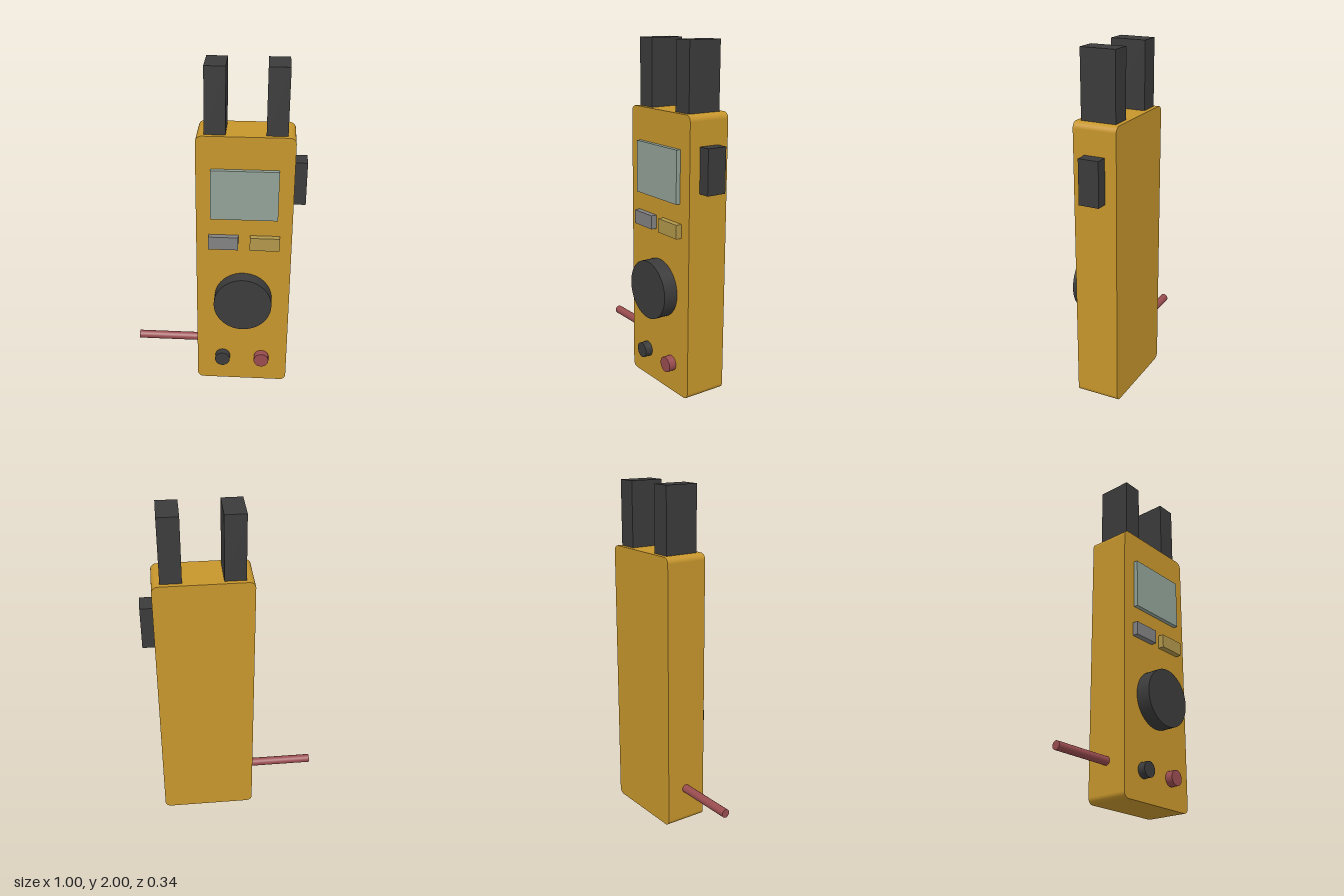
import * as THREE from 'three';

const mat = (name, color) => Object.assign(new THREE.MeshStandardMaterial({ color }), { name });

export function createModel() {
  const amber = mat('amber', 0xc7962c);
  const black = mat('black', 0x3b3b3b);
  const red = mat('red', 0x994c4f);
  const glass = mat('display green', 0x91a197);
  const grey = mat('grey', 0x818181);
  const sand = mat('sand', 0xb0964a);

  const group = new THREE.Group();
  group.name = 'clampMeter';
  const add = (name, geometry, material) => {
    const mesh = new THREE.Mesh(geometry, material);
    mesh.name = name;
    group.add(mesh);
    return mesh;
  };

  // Box given by its minimum and maximum corners
  const box = (name, material, [x0, y0, z0], [x1, y1, z1]) =>
    add(name, new THREE.BoxGeometry(x1 - x0, y1 - y0, z1 - z0), material)
      .position.set((x0 + x1) / 2, (y0 + y1) / 2, (z0 + z1) / 2);

  // Disc facing forward, standing proud of the front panel
  const front = 0.083;
  const knob = (name, material, x, y, radius, zEnd, sides) => {
    const z0 = front - 0.005;
    const geo = new THREE.CylinderGeometry(radius, radius, zEnd - z0, sides).rotateX(Math.PI / 2);
    add(name, geo, material).position.set(x, y, (z0 + zEnd) / 2);
  };

  // Body: rounded rectangle extruded front to back
  const [l, r, b, t, c] = [-0.12, 0.43, 0, 1.62, 0.035];
  const outline = new THREE.Shape();
  outline.absarc(r - c, b + c, c, -Math.PI / 2, 0);
  outline.absarc(r - c, t - c, c, 0, Math.PI / 2);
  outline.absarc(l + c, t - c, c, Math.PI / 2, Math.PI);
  outline.absarc(l + c, b + c, c, Math.PI, Math.PI * 1.5);
  outline.closePath();
  // Roll the side normals smoothly around the corners
  const bodyGeo = new THREE.ExtrudeGeometry(outline, { depth: 0.253, bevelEnabled: false, curveSegments: 8 });
  const p = bodyGeo.attributes.position, n = bodyGeo.attributes.normal;
  for (let i = 0; i < p.count; i++) {
    if (Math.abs(n.getZ(i)) > 0.5) continue;
    const dx = p.getX(i) - THREE.MathUtils.clamp(p.getX(i), l + c, r - c);
    const dy = p.getY(i) - THREE.MathUtils.clamp(p.getY(i), b + c, t - c);
    const len = Math.hypot(dx, dy) || 1;
    n.setXYZ(i, dx / len, dy / len, 0);
  }
  add('body', bodyGeo, amber).position.z = -0.17;

  // Fork jaws on top
  box('rightJaw', black, [-0.073, 1.6, -0.145], [0.045, 2, 0.058]);
  box('leftJaw', black, [0.267, 1.6, -0.145], [0.385, 2, 0.058]);

  // Side trigger
  box('sideTrigger', black, [0.42, 1.195, -0.103], [0.5, 1.45, 0.016]);

  // Display and push buttons
  box('display', glass, [-0.036, 1.132, 0.07], [0.346, 1.43, 0.109]);
  box('greyButton', grey, [-0.048, 0.942, 0.07], [0.123, 1.022, 0.118]);
  box('sandButton', sand, [0.19, 0.942, 0.07], [0.361, 1.022, 0.118]);

  // Rotary dial and input sockets
  knob('dial', black, 0.156, 0.6, 0.17, 0.168, 48);
  knob('blackSocket', black, 0.036, 0.172, 0.045, 0.128, 32);
  knob('redSocket', red, 0.275, 0.172, 0.045, 0.128, 32);

  // Test lead leaving the right side
  const lead = new THREE.CylinderGeometry(0.025, 0.025, 0.4, 24).rotateZ(Math.PI / 2);
  add('testLead', lead, red).position.set(-0.3, 0.215, -0.045);

  return group;
}
